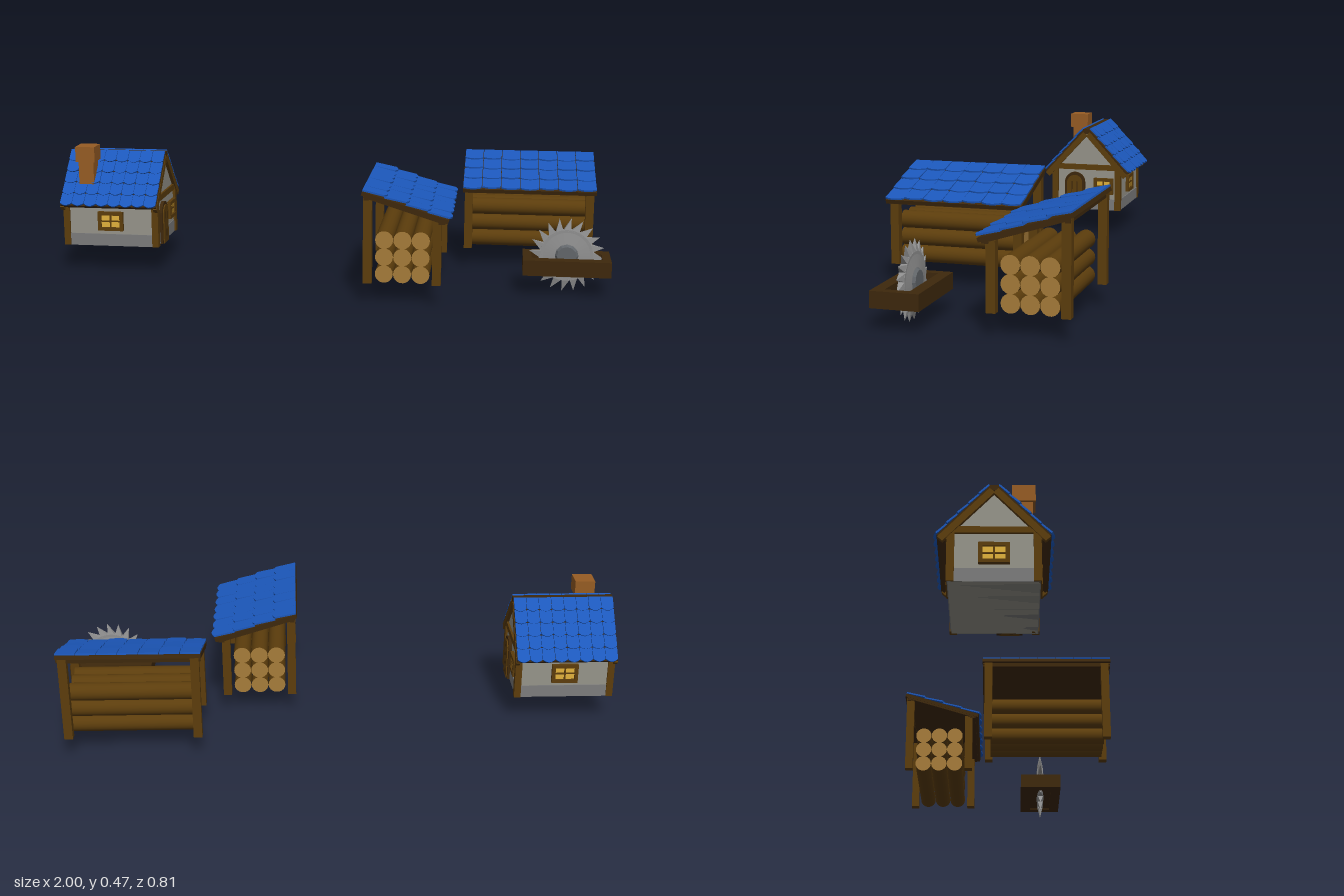
import * as THREE from 'three';

const mat = (color, flat = true) => new THREE.MeshStandardMaterial({ color, flatShading: flat });
const M = {
  wood: mat(0x5c3d0c), dark: mat(0x3e280c), bark: mat(0x5c3d0c, false), cut: mat(0xa67c3a),
  tile: mat(0x1c58bc), wall: mat(0x96948a), stone: mat(0x7c7c7c), glass: mat(0xe2b23c),
  brick: mat(0x965c24), steel: mat(0x909090), hub: mat(0x62666a),
};

function add(parent, name, geo, material, x = 0, y = 0, z = 0) {
  const mesh = new THREE.Mesh(geo, material);
  mesh.name = name;
  mesh.position.set(x, y, z);
  parent.add(mesh);
  return mesh;
}
const box = (p, name, m, w, h, d, x, y, z) => add(p, name, new THREE.BoxGeometry(w, h, d), m, x, y, z);

function group(parent, name, x = 0, y = 0, z = 0) {
  const g = new THREE.Group();
  g.name = name;
  g.position.set(x, y, z);
  parent.add(g);
  return g;
}

// Tile with a rounded lower edge, lying flat and running towards +z
function tileGeometry(w, len) {
  const s = new THREE.Shape();
  s.moveTo(-w / 2, 0);
  s.lineTo(-w / 2, -len + 0.01);
  s.quadraticCurveTo(0, -len - 0.01, w / 2, -len + 0.01);
  s.lineTo(w / 2, 0);
  return new THREE.ExtrudeGeometry(s, { depth: 0.006, bevelEnabled: false, curveSegments: 6 }).rotateX(-Math.PI / 2);
}

// Sloped board with overlapping tiles; its origin is the middle of the upper edge
function roofPanel(parent, width, slope, angle, cols, rows, y, z) {
  const g = group(parent, 'roofPanel', 0, y, z);
  g.rotation.x = angle;
  box(g, 'roofBoard', M.dark, width, 0.014, slope, 0, -0.007, slope / 2);
  const w = width / cols, step = slope / rows, geo = tileGeometry(w * 0.97, step * 1.12);
  for (let r = 0; r < rows; r++) {
    for (let c = 0; c < cols; c++) {
      const t = add(g, 'roofTile', geo, M.tile, (c + 0.5) * w - width / 2, 0.001, r * step);
      t.rotation.x = -0.07 - 0.025 * Math.sin(c * 2.3 + r * 1.7);
    }
  }
}

// Window facing +z
function addWindow(parent, w, h, x, y, z, turn) {
  const g = group(parent, 'window', x, y, z);
  g.rotation.y = turn;
  box(g, 'windowGlass', M.glass, w - 0.02, h - 0.02, 0.008, 0, 0, 0.002);
  for (const s of [-1, 1]) {
    box(g, 'windowFrameSide', M.wood, 0.013, h, 0.018, s * (w / 2 - 0.006), 0, 0.003);
    box(g, 'windowFrameRail', M.wood, w, 0.013, 0.02, 0, s * (h / 2 - 0.006), 0.003);
  }
  box(g, 'windowMullion', M.wood, 0.006, h - 0.02, 0.014, 0, 0, 0.002);
  box(g, 'windowBar', M.wood, w - 0.02, 0.005, 0.014, 0, 0, 0.002);
}

function archGeometry(w, h, depth) {
  const s = new THREE.Shape();
  s.moveTo(-w / 2, 0);
  s.lineTo(w / 2, 0);
  s.lineTo(w / 2, h - w / 2);
  s.absarc(0, h - w / 2, w / 2, 0, Math.PI, false);
  return new THREE.ExtrudeGeometry(s, { depth, bevelEnabled: false, curveSegments: 10 });
}

function buildHouse(root) {
  const g = group(root, 'house', -0.817, 0, -0.036);
  // Gabled walls
  const s = new THREE.Shape();
  [[-0.138, 0.1], [0.138, 0.1], [0.138, 0.275], [0, 0.42], [-0.138, 0.275]]
    .forEach(([a, b], i) => (i ? s.lineTo(a, b) : s.moveTo(a, b)));
  const walls = new THREE.ExtrudeGeometry(s, { depth: 0.34, bevelEnabled: false });
  add(g, 'walls', walls.translate(0, 0, -0.17).rotateY(Math.PI / 2), M.wall);
  box(g, 'stoneFooting', M.stone, 0.346, 0.045, 0.282, 0, 0.1225, 0);
  // Timber frame
  for (const x of [-1, 1]) {
    for (const z of [-1, 1]) box(g, 'cornerPost', M.wood, 0.024, 0.175, 0.024, x * 0.167, 0.1875, z * 0.132);
    box(g, 'gableBeam', M.wood, 0.02, 0.022, 0.29, x * 0.168, 0.277, 0);
  }
  for (const z of [-1, 1]) box(g, 'eavesBeam', M.wood, 0.35, 0.022, 0.02, 0, 0.255, z * 0.137);
  // Roof slopes with bargeboards
  for (const turn of [0, Math.PI]) {
    const side = group(g, 'roofSlope');
    side.rotation.y = turn;
    roofPanel(side, 0.36, 0.24, 0.828, 8, 5, 0.434, 0.012);
    for (const x of [-1, 1]) {
      const b = box(side, 'bargeboard', M.wood, 0.014, 0.022, 0.235, x * 0.175, 0.329, 0.085);
      b.rotation.x = 0.828;
    }
  }
  box(g, 'ridgeBeam', M.dark, 0.362, 0.02, 0.03, 0, 0.425, 0);
  // Chimney
  box(g, 'chimneyShaft', M.brick, 0.056, 0.12, 0.056, -0.093, 0.36, 0.092);
  box(g, 'chimneyCap', M.brick, 0.072, 0.056, 0.074, -0.093, 0.44, 0.092);
  // Openings
  addWindow(g, 0.094, 0.07, 0, 0.195, 0.138, 0);
  addWindow(g, 0.094, 0.07, 0, 0.195, -0.138, Math.PI);
  addWindow(g, 0.08, 0.066, 0.17, 0.2, -0.073, Math.PI / 2);
  addWindow(g, 0.094, 0.07, -0.17, 0.195, 0, -Math.PI / 2);
  const door = group(g, 'door', 0.17, 0.1, 0.048);
  door.rotation.y = Math.PI / 2;
  add(door, 'doorFrame', archGeometry(0.084, 0.155, 0.012), M.dark);
  add(door, 'doorLeaf', archGeometry(0.064, 0.143, 0.016), M.wood);
  for (const x of [-0.011, 0.011]) box(door, 'doorGroove', M.dark, 0.003, 0.115, 0.002, x, 0.06, 0.016);
}

// Lean-to shed along x, its low side towards +z
function buildShed(root, x, z, turn) {
  const g = group(root, 'logShed', x, 0, z);
  g.rotation.y = turn;
  for (const sx of [-1, 1]) {
    box(g, 'rearPost', M.wood, 0.03, 0.31, 0.03, sx * 0.223, 0.23, -0.118);
    box(g, 'frontPost', M.wood, 0.03, 0.225, 0.03, sx * 0.223, 0.1875, 0.118);
    const rafter = box(g, 'rafter', M.dark, 0.016, 0.016, 0.285, sx * 0.236, 0.341, 0.006);
    rafter.rotation.x = 0.3;
  }
  box(g, 'frontBeam', M.dark, 0.486, 0.02, 0.022, 0, 0.3, 0.134);
  box(g, 'rearBeam', M.dark, 0.486, 0.02, 0.016, 0, 0.376, -0.123);
  roofPanel(g, 0.49, 0.308, 0.3, 7, 4, 0.397, -0.136);
  // Stack of logs
  const log = new THREE.CylinderGeometry(0.031, 0.031, 0.43, 18).rotateZ(Math.PI / 2);
  for (let r = 0; r < 3; r++) {
    for (let c = 0; c < 3; c++) {
      add(g, 'log', log, [M.bark, M.cut, M.cut], 0, 0.104 + r * 0.06, (c - 1) * 0.0625);
    }
  }
}

function buildSaw(root) {
  const g = group(root, 'sawBench', 0.846, 0, 0.147);
  // Trough around the blade
  for (const s of [-1, 1]) {
    box(g, 'benchSide', M.dark, 0.305, 0.055, 0.04, 0, 0.1025, s * 0.061);
    box(g, 'benchEnd', M.dark, 0.03, 0.055, 0.084, s * 0.1375, 0.1025, 0);
  }
  box(g, 'benchFloor', M.dark, 0.25, 0.008, 0.084, 0, 0.085, 0);
  // Blade with raked, tapering teeth
  const blade = group(g, 'sawBlade', 0, 0.134, 0);
  add(blade, 'bladeDisc', new THREE.CylinderGeometry(0.092, 0.092, 0.022, 40).rotateX(Math.PI / 2), M.steel);
  for (const s of [-1, 1]) {
    const cone = new THREE.CylinderGeometry(0.042, 0.09, 0.006, 40).rotateX(s * Math.PI / 2);
    add(blade, 'bladeBoss', cone, M.steel, 0, 0, s * 0.013);
    const hub = new THREE.CylinderGeometry(0.034, 0.042, 0.01, 12).rotateX(s * Math.PI / 2);
    add(blade, 'bladeHub', hub, M.hub, 0, 0, s * 0.02);
  }
  const tooth = new THREE.ConeGeometry(0.02, 0.044, 4).rotateY(Math.PI / 4).scale(1, 1, 0.78).translate(0, 0.022, 0);
  const p = tooth.attributes.position;
  for (let i = 0; i < p.count; i++) p.setXYZ(i, p.getX(i) + p.getY(i) * 0.3, p.getY(i) + 0.088, p.getZ(i));
  const teeth = 20;
  for (let i = 0; i < teeth; i++) {
    add(blade, 'bladeTooth', tooth, M.steel).rotation.z = (i / teeth) * Math.PI * 2;
  }
}

export function createModel() {
  const root = new THREE.Group();
  root.name = 'sawmill';
  buildHouse(root);
  buildShed(root, 0.284, 0.158, Math.PI / 2);
  buildShed(root, 0.715, -0.265, 0);
  buildSaw(root);
  return root;
}
